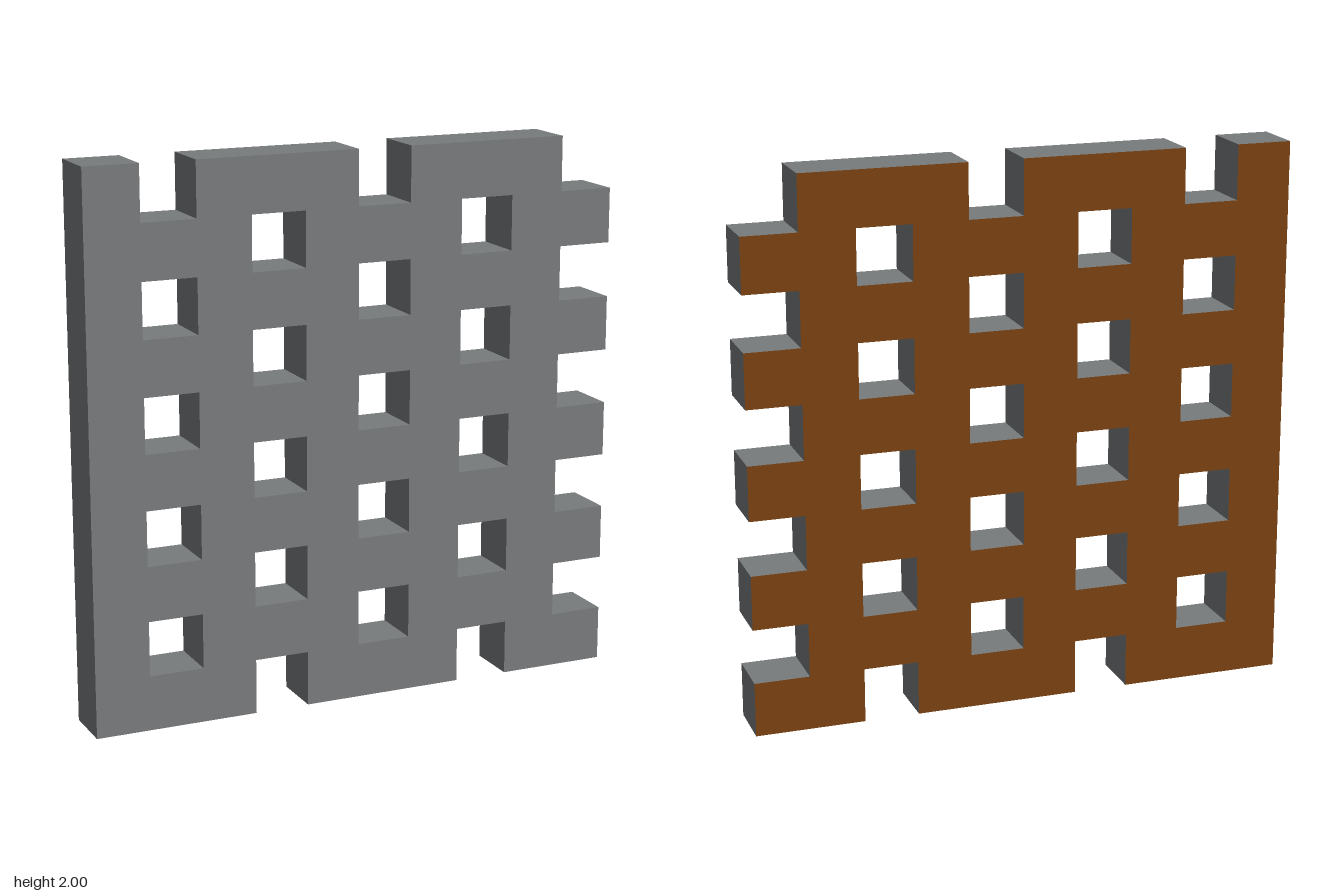
import * as THREE from 'three';

const CELL = 0.2;

export function createModel() {
  const grey = new THREE.MeshStandardMaterial({ color: 0x787b7d });
  grey.name = 'grey';
  const brown = new THREE.MeshStandardMaterial({ color: 0x7a4211 });
  brown.name = 'brown';

  // Grid cell coordinates (0..10) to model units
  const point = (i, j) => new THREE.Vector2((i - 5) * CELL, j * CELL);

  // Outline, counter-clockwise from the lower left corner
  const outline = [point(0, 0)];
  for (const i of [3, 7]) // notches in the bottom edge
    outline.push(point(i, 0), point(i, 1), point(i + 1, 1), point(i + 1, 0));
  for (let j = 0; j < 10; j += 2) { // teeth up the right edge
    outline.push(point(10, j), point(10, j + 1), point(9, j + 1));
    outline.push(point(9, j + 2));
  }
  for (const i of [5, 1]) // notches in the top edge
    outline.push(point(i + 1, 10), point(i + 1, 9), point(i, 9), point(i, 10));
  outline.push(point(0, 10));
  const shape = new THREE.Shape(outline);

  // Staggered square holes, column by column
  for (const i of [1, 3, 5, 7]) {
    const first = i % 4 === 1 ? 1 : 2;
    for (let j = first; j < 9; j += 2) {
      shape.holes.push(new THREE.Path([
        point(i, j), point(i, j + 1), point(i + 1, j + 1), point(i + 1, j),
      ]));
    }
  }

  const geometry = new THREE.ExtrudeGeometry(shape, { depth: CELL, bevelEnabled: false });
  geometry.translate(0, 0, -CELL / 2);

  // The back cap comes first in the geometry: brown back, grey front and edges
  const backCount = geometry.groups[0].count / 2;
  const total = geometry.attributes.position.count;
  geometry.clearGroups();
  geometry.addGroup(0, backCount, 0);
  geometry.addGroup(backCount, total - backCount, 1);

  const panel = new THREE.Mesh(geometry, [brown, grey]);
  panel.name = 'latticePanel';

  const model = new THREE.Group();
  model.name = 'lattice';
  model.add(panel);
  return model;
}
